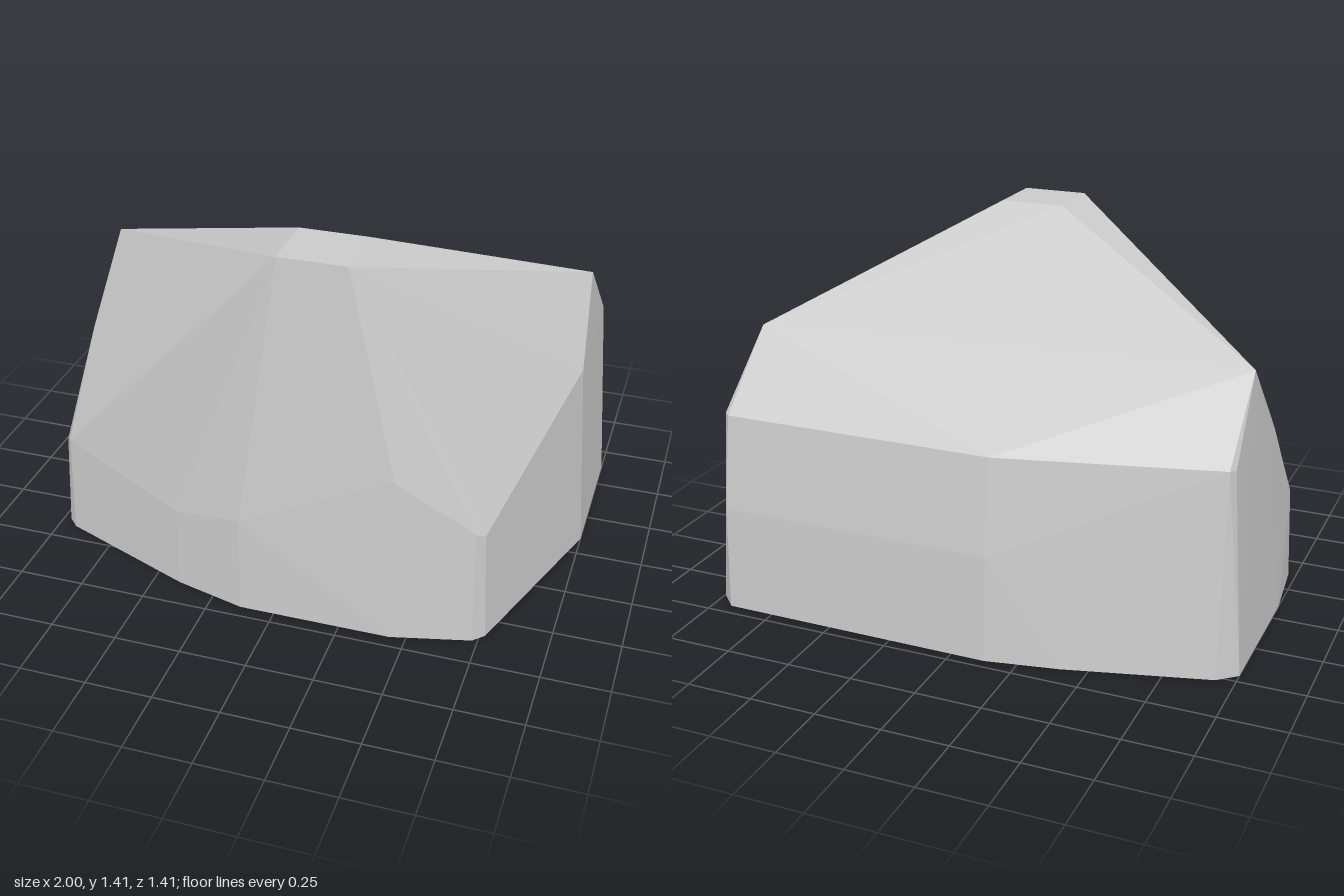
import * as THREE from 'three';
import { ConvexGeometry } from 'three/addons/geometries/ConvexGeometry.js';

export function createModel() {
  // Ground outline, as x, z
  const base = [
    [-1, -0.46], [-0.93, -0.52], [-0.4, -0.66], [-0.13, -0.71], [0.93, -0.7],
    [1, -0.63], [1, -0.1], [0.77, 0.59], [0.73, 0.63], [0.44, 0.7],
    [-0.13, 0.7], [-0.4, 0.63], [-0.93, 0.42], [-0.97, 0.38], [-1, 0.1],
  ].map(([x, z]) => [x, 0, z]);

  // Upper corners of the steep sides
  const sides = [
    [-0.93, 0.4, 0.4], [-0.96, 0.37, 0.36], [-0.4, 0.32, 0.62], [-0.13, 0.38, 0.69],
    [0.44, 0.65, 0.67], [0.72, 0.45, 0.61], [0.75, 0.43, 0.58], [0.95, 0.76, -0.1],
    [-0.945, 0.73, 0.09], [-0.13, 0.4, -0.69], [0.93, 0.4, -0.685],
  ];

  // Sloping back edge and shoulders
  const shoulders = [
    [0.92, 0.76, -0.645], [0.945, 0.76, -0.62], [-0.13, 0.76, -0.645],
    [-0.93, 0.765, -0.46], [-0.945, 0.76, -0.43],
    [0.92, 1.03, -0.37], [-0.93, 1.035, -0.18],
  ];

  // Small flat summit
  const summit = [
    [0, 1.41, 0.6], [0.25, 1.41, 0.6], [0.25, 1.41, 0.36], [0, 1.41, 0.36],
  ];

  const points = [...base, ...sides, ...shoulders, ...summit]
    .map((p) => new THREE.Vector3(...p));
  const boulder = new THREE.Mesh(
    new ConvexGeometry(points),
    new THREE.MeshStandardMaterial({ color: 0xcccccc, flatShading: true })
  );
  boulder.name = 'boulder';

  const group = new THREE.Group();
  group.name = 'rock';
  group.add(boulder);
  return group;
}
